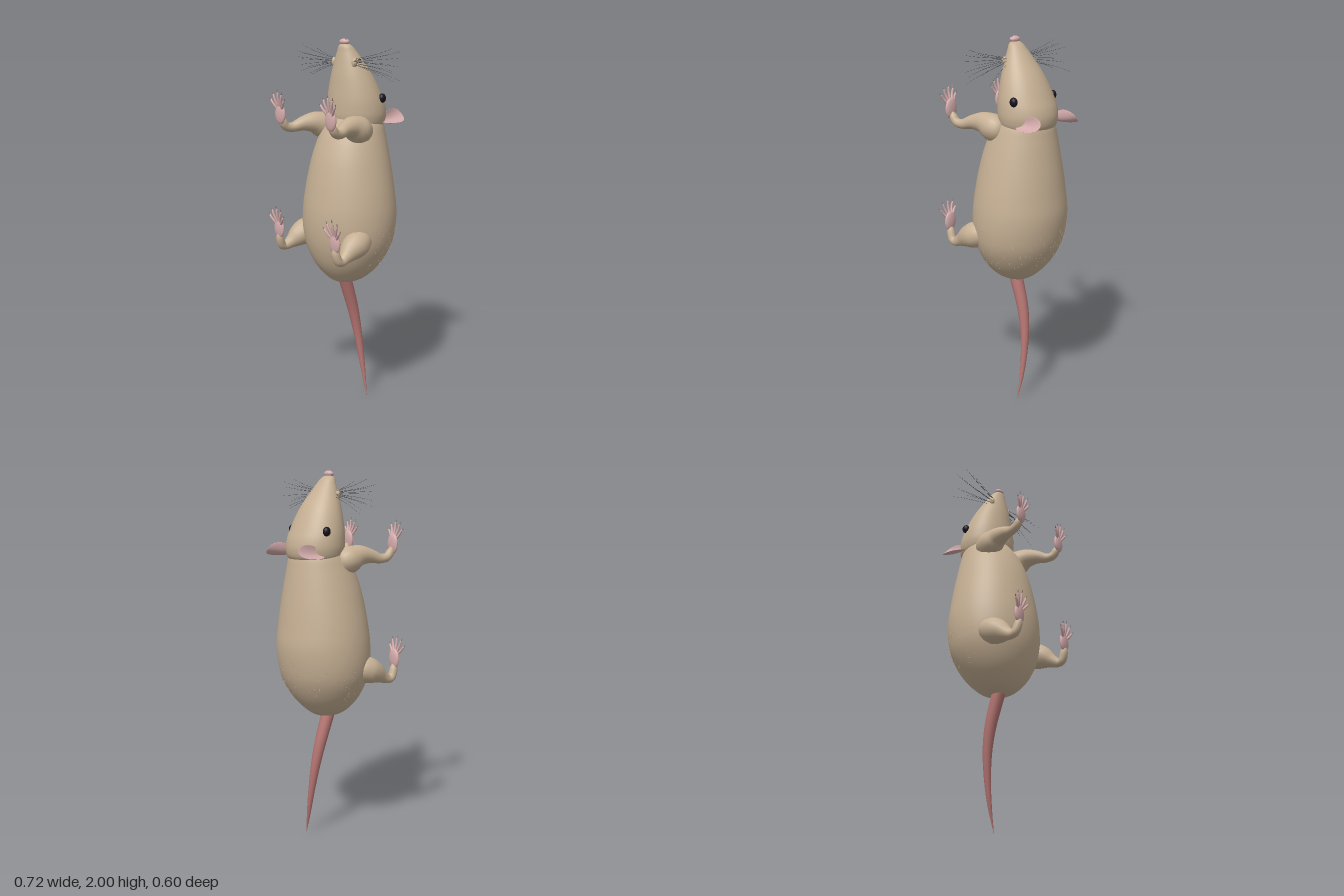
import * as THREE from 'three';
import { mergeGeometries } from 'three/addons/utils/BufferGeometryUtils.js';

const material = (name, color) => {
  const m = new THREE.MeshStandardMaterial({ color });
  m.name = name;
  return m;
};
const V = (x, y, z) => new THREE.Vector3(x, y, z);

// Closed-around grid of rings: fn(t, angle) gives a point
function ringSurface(rows, cols, fn) {
  const pos = [], idx = [];
  for (let i = 0; i <= rows; i++) {
    for (let j = 0; j < cols; j++) {
      pos.push(...fn(i / rows, (j / cols) * Math.PI * 2).toArray());
      if (i === rows) continue;
      const a = i * cols + j, b = i * cols + (j + 1) % cols;
      idx.push(a, b, b + cols, a, b + cols, a + cols);
    }
  }
  const g = new THREE.BufferGeometry();
  g.setAttribute('position', new THREE.Float32BufferAttribute(pos, 3));
  g.setIndex(idx);
  g.computeVertexNormals();
  return g;
}

// Smooth blend through a list of equal-length rows
function blend(list, t) {
  const n = list.length - 1;
  const i = Math.min(Math.floor(t * n), n - 1), f = t * n - i;
  const at = k => list[Math.max(0, Math.min(n, k))];
  return list[0].map((_, c) => {
    const [p, q, r, s] = [at(i - 1)[c], at(i)[c], at(i + 1)[c], at(i + 2)[c]];
    return q + 0.5 * f * (r - p + f * (2 * p - 5 * q + 4 * r - s + f * (3 * (q - r) + s - p)));
  });
}

// Upright form from rows of [y, half width, front z, back z]
function uprightPoint(sections, t, a) {
  const [y, w, front, back] = blend(sections, t);
  const mid = (front + back) / 2, depth = (front - back) / 2;
  return V(Math.max(w, 0) * Math.sin(a), y, mid + depth * Math.cos(a));
}
const upright = (sections) => ringSurface(56, 48, (t, a) => uprightPoint(sections, t, a));

// Round limb through rows of [x, y, z, radius]
function limb(points, rows = 24, cols = 16, ref = V(1, 0, 0)) {
  return ringSurface(rows, cols, (t, a) => {
    const p = blend(points, t);
    const q0 = blend(points, Math.max(0, t - 0.01)), q1 = blend(points, Math.min(1, t + 0.01));
    const tangent = V(q1[0] - q0[0], q1[1] - q0[1], q1[2] - q0[2]).normalize();
    const b = tangent.clone().cross(ref).normalize();
    const n = b.clone().cross(tangent);
    const r = Math.max(p[3], 0);
    return V(p[0], p[1], p[2]).addScaledVector(n, r * Math.cos(a)).addScaledVector(b, r * Math.sin(a));
  });
}
const ellipsoid = (x, y, z, rx, ry, rz) =>
  new THREE.SphereGeometry(1, 24, 16).scale(rx, ry, rz).translate(x, y, z);

export function createModel() {
  const model = new THREE.Group();
  model.name = 'rodent';
  const fur = material('fur', 0xc6b094);
  const skin = material('pinkSkin', 0xd4abab);
  const tailSkin = material('tailSkin', 0xb57572);
  const dark = material('eyeBlack', 0x17121c);
  const whiskerGrey = material('whiskerGrey', 0x4a4c50);
  const claw = material('clawPink', 0x94797a);
  const nostrilPink = material('nostril', 0x8a5058);
  const add = (name, geometry, mat, parent = model) => {
    const mesh = new THREE.Mesh(geometry, mat);
    mesh.name = name;
    parent.add(mesh);
    return mesh;
  };
  let seed = 7;
  const rand = () => (seed = (seed * 16807) % 2147483647) / 2147483647;

  // Torso and head
  const torso = [
    [0.693, 0, -0.02, -0.02], [0.708, 0.066, 0.056, -0.09], [0.75, 0.132, 0.108, -0.15],
    [0.82, 0.193, 0.157, -0.211], [0.91, 0.24, 0.19, -0.258], [1.0, 0.259, 0.204, -0.28],
    [1.1, 0.26, 0.204, -0.289], [1.2, 0.248, 0.192, -0.28], [1.3, 0.229, 0.175, -0.269],
    [1.4, 0.206, 0.151, -0.255], [1.5, 0.178, 0.113, -0.239], [1.57, 0.153, 0.07, -0.224],
    [1.61, 0.115, 0.03, -0.19], [1.62, 0, -0.08, -0.08],
  ];
  add('torso', upright(torso), fur);
  add('head', upright([
    [1.54, 0, -0.09, -0.09], [1.542, 0.1, 0.0, -0.185], [1.555, 0.146, 0.04, -0.23],
    [1.6, 0.162, 0.054, -0.243], [1.65, 0.162, 0.056, -0.236], [1.7, 0.154, 0.054, -0.216],
    [1.76, 0.137, 0.049, -0.188], [1.82, 0.114, 0.043, -0.154], [1.88, 0.085, 0.034, -0.11],
    [1.93, 0.058, 0.026, -0.071], [1.965, 0.036, 0.019, -0.038], [1.98, 0, -0.005, -0.005],
  ]), fur);
  add('nose', ellipsoid(0, 1.983, -0.004, 0.031, 0.017, 0.022), skin);

  // Tail
  add('tail', limb([
    [0, 0.76, 0.01, 0.036], [0, 0.66, -0.025, 0.035], [0.003, 0.53, -0.065, 0.031],
    [0.013, 0.4, -0.09, 0.025], [0.032, 0.26, -0.102, 0.018], [0.055, 0.13, -0.104, 0.011],
    [0.085, 0, -0.1, 0.0005],
  ], 36), tailSkin);

  // Paw with a palm, five fanned digits and claws
  function paw(name, x, y, fan, parent) {
    const group = new THREE.Group();
    group.name = name;
    parent.add(group);
    add('palm', ellipsoid(x, y, 0.275, 0.038, 0.054, 0.015), skin, group);
    for (let i = -2; i <= 2; i++) {
      const a = (i / 2) * fan, reach = 1 - 0.045 * i * i;
      const at = (d, z, r) => [x + Math.sin(a) * d * reach, y + Math.cos(a) * d * reach, z, r];
      add('digit', limb([at(0.025, 0.274, 0.007), at(0.055, 0.284, 0.0072), at(0.085, 0.291, 0.0062),
        at(0.108, 0.292, 0.0048), at(0.113, 0.292, 0)], 10, 8), skin, group);
      add('claw', limb([at(0.106, 0.292, 0.0035), at(0.118, 0.295, 0.0025), at(0.129, 0.298, 0)], 5, 6),
        claw, group);
    }
  }

  for (const s of [1, -1]) {
    const side = s > 0 ? 'left' : 'right';
    const half = new THREE.Group();
    half.name = side + 'Side';
    model.add(half);
    const mirrored = rows => rows.map(([x, ...rest]) => [x * s, ...rest]);

    // Front leg
    add('frontLeg', limb(mirrored([
      [0.12, 1.53, -0.06, 0], [0.124, 1.534, -0.03, 0.053], [0.13, 1.547, 0.025, 0.071],
      [0.14, 1.566, 0.085, 0.056], [0.157, 1.563, 0.147, 0.038], [0.176, 1.548, 0.2, 0.026],
      [0.185, 1.555, 0.24, 0.023], [0.187, 1.585, 0.262, 0.02], [0.187, 1.62, 0.274, 0],
    ]), 40), fur, half);
    paw('frontPaw', s * 0.188, 1.622, 0.62, half);

    // Hind leg
    add('hindLeg', limb(mirrored([
      [0.19, 0.998, 0.012, 0], [0.192, 0.988, 0.045, 0.052], [0.197, 0.967, 0.1, 0.07],
      [0.203, 0.945, 0.15, 0.06], [0.212, 0.918, 0.197, 0.036], [0.22, 0.902, 0.232, 0.024],
      [0.22, 0.914, 0.257, 0.023], [0.216, 0.96, 0.272, 0.02], [0.215, 1.0, 0.276, 0],
    ]), 40), fur, half);
    paw('hindPaw', s * 0.214, 1.008, 0.68, half);

    // Ear: a cup, narrow at its root
    const long = V(s * 0.03, 0.12, -0.99).normalize();
    const facing = V(s * 0.76, 0.63, 0.1).addScaledVector(long, -V(s * 0.76, 0.63, 0.1).dot(long)).normalize();
    const ear = new THREE.SphereGeometry(1, 32, 20);
    const p = ear.attributes.position;
    for (let i = 0; i < p.count; i++) {
      const [x, y, z] = [p.getX(i), p.getY(i), p.getZ(i)];
      p.setXYZ(i, x * 0.05 * (0.88 + 0.22 * z), y * 0.005 + 0.028 * (x * x + 0.35 * z * z) - 0.014, z * 0.082);
    }
    ear.computeVertexNormals();
    ear.applyMatrix4(new THREE.Matrix4().makeBasis(facing.clone().cross(long), facing, long)
      .setPosition(s * 0.144, 1.59, -0.217));
    add('ear', ear, skin, half);

    // Face details
    add('eye', ellipsoid(s * 0.15, 1.698, -0.131, 0.018, 0.024, 0.021), dark, half);
    add('whiskerPad', ellipsoid(s * 0.074, 1.88, -0.002, 0.014, 0.024, 0.015), fur, half);
    add('nostril', ellipsoid(s * 0.016, 1.995, 0, 0.005, 0.004, 0.004), nostrilPink, half);

    // Whiskers
    const whiskers = [];
    for (let i = 0; i < 12; i++) {
      const f = i / 11, reach = 0.27 + rand() * 0.1;
      const y = 1.79 + f * 0.17, z = -0.085 + ((i * 5) % 12) * 0.0118;
      const y0 = 1.868 + f * 0.03, z0 = z * 0.25;
      whiskers.push(limb(mirrored([[0.075, y0, z0, 0.0009],
        [0.6 * reach + 0.03, y0 + (y - y0) * 0.5, z0 + (z - z0) * 0.65, 0.0007], [reach, y, z, 0.0003]]),
      8, 4, V(0, 0, 1)));
    }
    add('whiskers', mergeGeometries(whiskers), whiskerGrey, half);
  }

  // Sparse fine hairs over the lower back
  const hairs = [];
  for (let i = 0; i < 160; i++) {
    const t = 0.24 + rand() * 0.17, a = Math.PI + (rand() - 0.5) * 3.6;
    const root = uprightPoint(torso, t, a);
    const tip = root.clone().add(V(Math.sin(a) * 0.007, -0.022, Math.cos(a) * 0.007));
    hairs.push(limb([[...root.toArray(), 0.0008], [...tip.toArray(), 0]], 1, 3));
  }
  add('backHairs', mergeGeometries(hairs), fur);
  return model;
}
